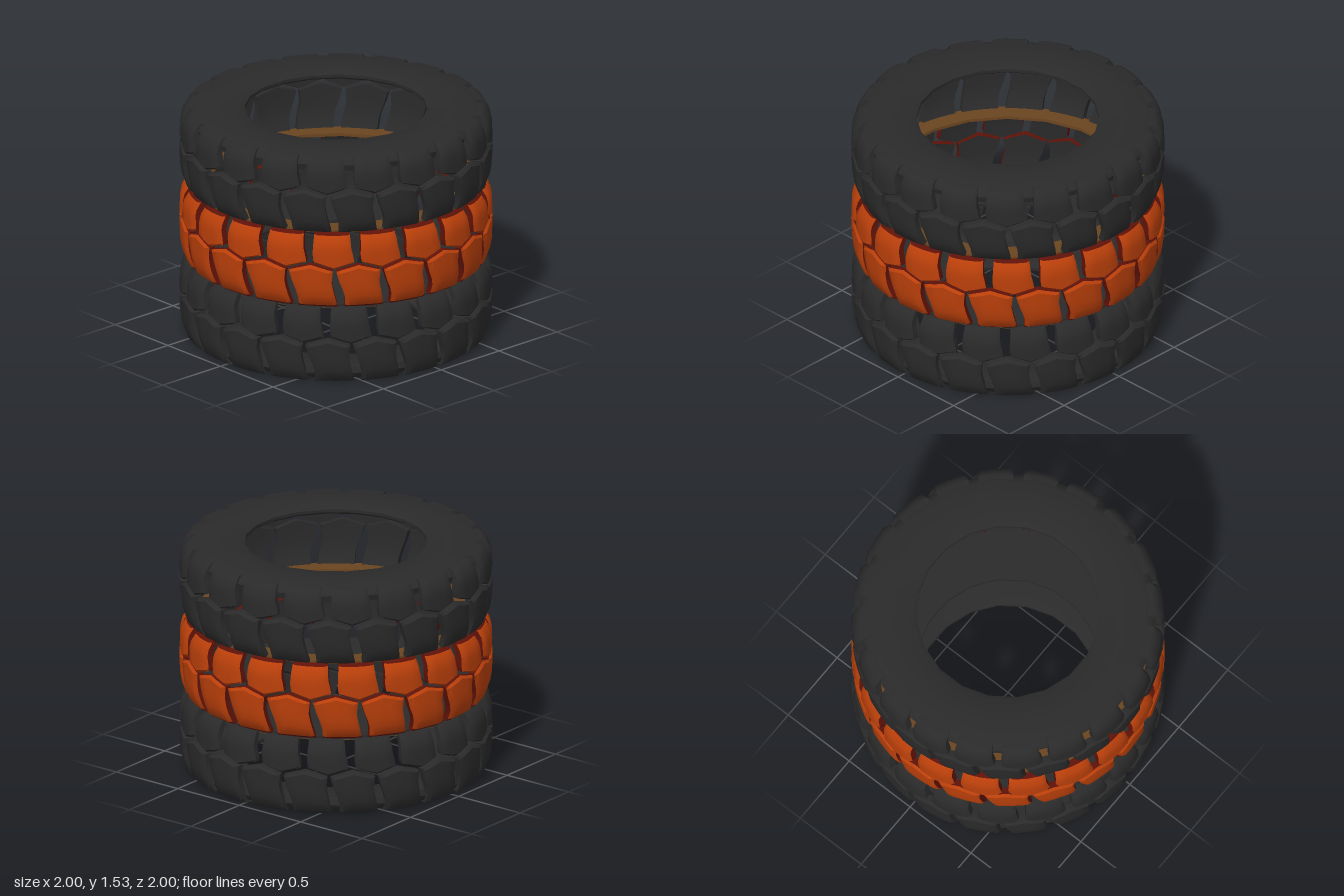
import * as THREE from 'three';
import { toCreasedNormals } from 'three/addons/utils/BufferGeometryUtils.js';

const HEIGHT = 0.51, COUNT = 20, DEG = Math.PI / 180;
const US = [0, 0.1, 0.3, 0.5, 0.7, 0.9, 1], VS = [0, 0.06, 0.3, 0.5, 0.7, 0.94, 1];

// piecewise linear lookup in [key, value] pairs
function lookup(table, t) {
  for (let i = 1; i < table.length; i++) {
    const [a, va] = table[i - 1], [b, vb] = table[i];
    if (t <= b) return va + (vb - va) * Math.max(0, (t - a) / (b - a));
  }
  return table[table.length - 1][1];
}

// outer radius of the tread against height
const RADIUS = [[0, 0.955], [0.05, 0.982], [0.12, 0.998], [0.25, 1.003], [0.42, 0.998], [0.47, 0.982], [0.51, 0.945]];

// two tread rows: angular width and lean in degrees, v runs from bottom to top;
// rim is the strip of the face that belongs to the edge colour
const LOWER = {
  rim: 0,
  width: [[0, 15.2], [0.2, 14.2], [0.6, 14.4], [1, 16.8]],
  lean: [[0, 2.2], [0.2, 2], [0.45, 1.1], [0.7, 0], [1, -0.4]],
  bottom: () => 0.003,
  top: (u) => 0.3 - 0.042 * Math.abs(2 * u - 1),
};
const UPPER = {
  rim: VS.length - 2,
  width: [[0, 15], [0.15, 15.6], [0.5, 14.4], [1, 13.8]],
  lean: [[0, -0.6], [0.4, -1.3], [1, -1.4]],
  bottom: (u) => 0.274 + 0.044 * Math.abs(2 * u - 1),
  top: () => 0.507,
};

// curved tread block: outer face, inner face and edges as three groups
function blockGeometry(row) {
  const n = US.length, m = VS.length, pos = [], faces = [[], [], []];
  for (const layer of [0, 1]) {
    for (const v of VS) for (const u of US) {
      const y = row.bottom(u) + (row.top(u) - row.bottom(u)) * v;
      const border = u === 0 || u === 1 || v === 0 || v === 1;
      const r = lookup(RADIUS, y) - (layer ? 0.06 : border ? 0.016 : 0);
      const a = (lookup(row.lean, v) + (u - 0.5) * lookup(row.width, v)) * DEG;
      pos.push(r * Math.sin(a), y, r * Math.cos(a));
    }
  }
  const id = (i, j, layer) => layer * n * m + j * n + i;
  for (let j = 0; j < m - 1; j++) for (let i = 0; i < n - 1; i++) {
    const [a, b, c, d] = [id(i, j, 0), id(i + 1, j, 0), id(i + 1, j + 1, 0), id(i, j + 1, 0)];
    faces[j === row.rim ? 2 : 0].push(a, b, c, a, c, d);
    const [e, f, g, h] = [a, b, c, d].map((k) => k + n * m);
    faces[1].push(e, g, f, e, h, g);
  }
  // edge walls follow the border loop
  const loop = [];
  for (let i = 0; i < n - 1; i++) loop.push([i, 0]);
  for (let j = 0; j < m - 1; j++) loop.push([n - 1, j]);
  for (let i = n - 1; i > 0; i--) loop.push([i, m - 1]);
  for (let j = m - 1; j > 0; j--) loop.push([0, j]);
  loop.forEach(([i, j], k) => {
    const [p, q] = loop[(k + 1) % loop.length];
    const a = id(i, j, 0), b = id(p, q, 0), c = id(p, q, 1), d = id(i, j, 1);
    faces[2].push(a, c, b, a, d, c);
  });
  const geo = new THREE.BufferGeometry();
  let start = 0;
  faces.forEach((list, g) => {
    geo.addGroup(start, list.length, g);
    start += list.length;
  });
  geo.setAttribute('position', new THREE.Float32BufferAttribute(pos, 3));
  geo.setIndex(faces.flat());
  return toCreasedNormals(geo, 0.75);
}

// twenty-sided ring turned from a closed counterclockwise [radius, y] outline
function ring(name, outline, material) {
  const points = [...outline, outline[0]].map(([r, y]) => new THREE.Vector2(r, y));
  const lathe = new THREE.LatheGeometry(points, COUNT, Math.PI / COUNT);
  const mesh = new THREE.Mesh(toCreasedNormals(lathe, 0.7), material);
  mesh.name = name;
  return mesh;
}

export function createModel() {
  const model = new THREE.Group();
  model.name = 'tyreStack';
  const paint = (name, color) => {
    const material = new THREE.MeshStandardMaterial({ color });
    material.name = name;
    return material;
  };
  const rubber = paint('black rubber', 0x2a2a2a);
  const orange = paint('orange paint', 0xb93f0a);
  const darkRed = paint('dark red edge', 0x5e1208);
  const brown = paint('brown lining', 0x6b4520);

  const lowerGeo = blockGeometry(LOWER), upperGeo = blockGeometry(UPPER);

  // tread of one tyre: two staggered rows of blocks
  function tread(name, level, phase, materials) {
    const group = new THREE.Group();
    group.name = name;
    group.position.y = level * HEIGHT;
    for (let i = 0; i < COUNT; i++) {
      [['lowerTreadBlock', lowerGeo, 0], ['upperTreadBlock', upperGeo, 0.5]].forEach(([label, geo, offset]) => {
        const block = new THREE.Mesh(geo, materials);
        block.name = label;
        block.rotation.y = phase * DEG + (i + offset) * 2 * Math.PI / COUNT;
        group.add(block);
      });
    }
    model.add(group);
  }
  const black = [rubber, rubber, rubber];
  tread('bottomTread', 0, 9, black);
  tread('middleTread', 1, 2.5, [orange, rubber, darkRed]);
  tread('topTread', 2, 0, black);

  // outer sidewalls with a rounded shoulder behind the blocks
  const topY = 3 * HEIGHT;
  const wall = [[0.585, -0.035], [0.605, -0.05], [0.86, -0.05], [0.9, -0.09], [0.945, -0.09],
    [0.955, -0.05], [0.935, -0.015], [0.89, 0.003], [0.75, 0.005], [0.615, 0], [0.585, -0.015]];
  model.add(ring('topSidewall', wall.map(([r, y]) => [r, topY + y]), rubber));
  model.add(ring('bottomSidewall', wall.map(([r, y]) => [r, -y + 0.005]).reverse(), rubber));

  // walls between neighbouring tyres, kept behind the tread
  model.add(ring('lowerInnerWall', [[0.585, 0.5], [0.93, 0.5], [0.93, 0.52], [0.585, 0.52]], rubber));
  model.add(ring('upperInnerWall', [[0.8, 1.01], [0.925, 1.01], [0.925, 1.03], [0.8, 1.03]], brown));
  model.add(ring('lowerLining', [[0.87, 0.494], [0.925, 0.494], [0.925, 0.5], [0.87, 0.5]], brown));
  return model;
}
